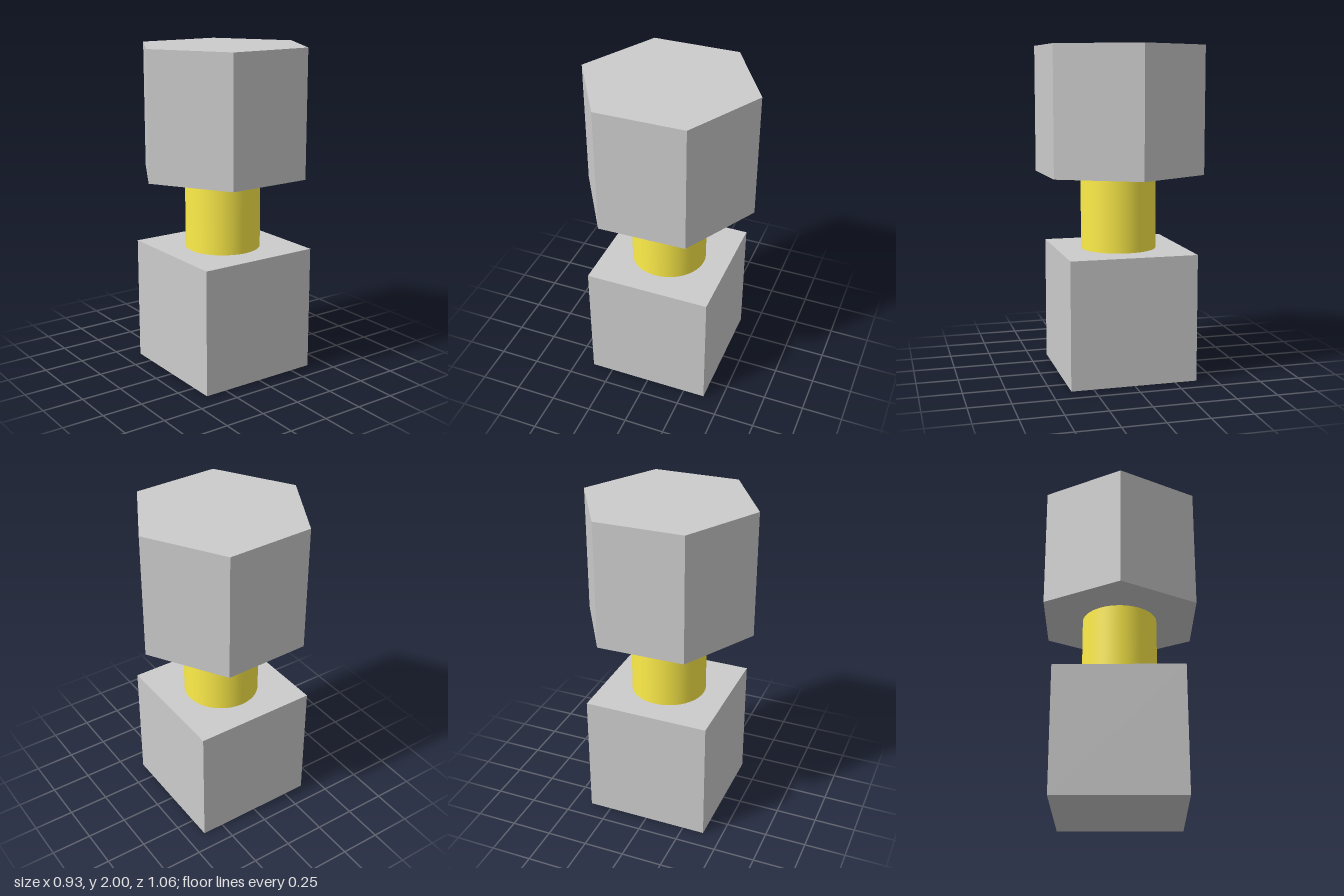
import * as THREE from 'three';

export function createModel() {
  const group = new THREE.Group();
  const grey = new THREE.MeshStandardMaterial({ color: 0xcccccc });
  const flatGrey = new THREE.MeshStandardMaterial({ color: 0xcccccc, flatShading: true });
  const yellow = new THREE.MeshStandardMaterial({ color: 0xffee4a });

  const add = (name, geometry, material, y) => {
    const mesh = new THREE.Mesh(geometry, material);
    mesh.name = name;
    mesh.position.y = y;
    group.add(mesh);
    return mesh;
  };

  const size = 0.77; // edge of the cube and height of the hexagonal head
  const neck = 2 - 2 * size;

  // Cube base
  add('base', new THREE.BoxGeometry(size, size, size), grey, size / 2);

  // Smooth round neck
  add('neck', new THREE.CylinderGeometry(0.23, 0.23, neck, 64), yellow, 1);

  // Hexagonal head, turned slightly about the vertical axis
  const head = add('head', new THREE.CylinderGeometry(0.531, 0.531, size, 6), flatGrey, 2 - size / 2);
  head.rotation.y = 0.02;

  return group;
}
